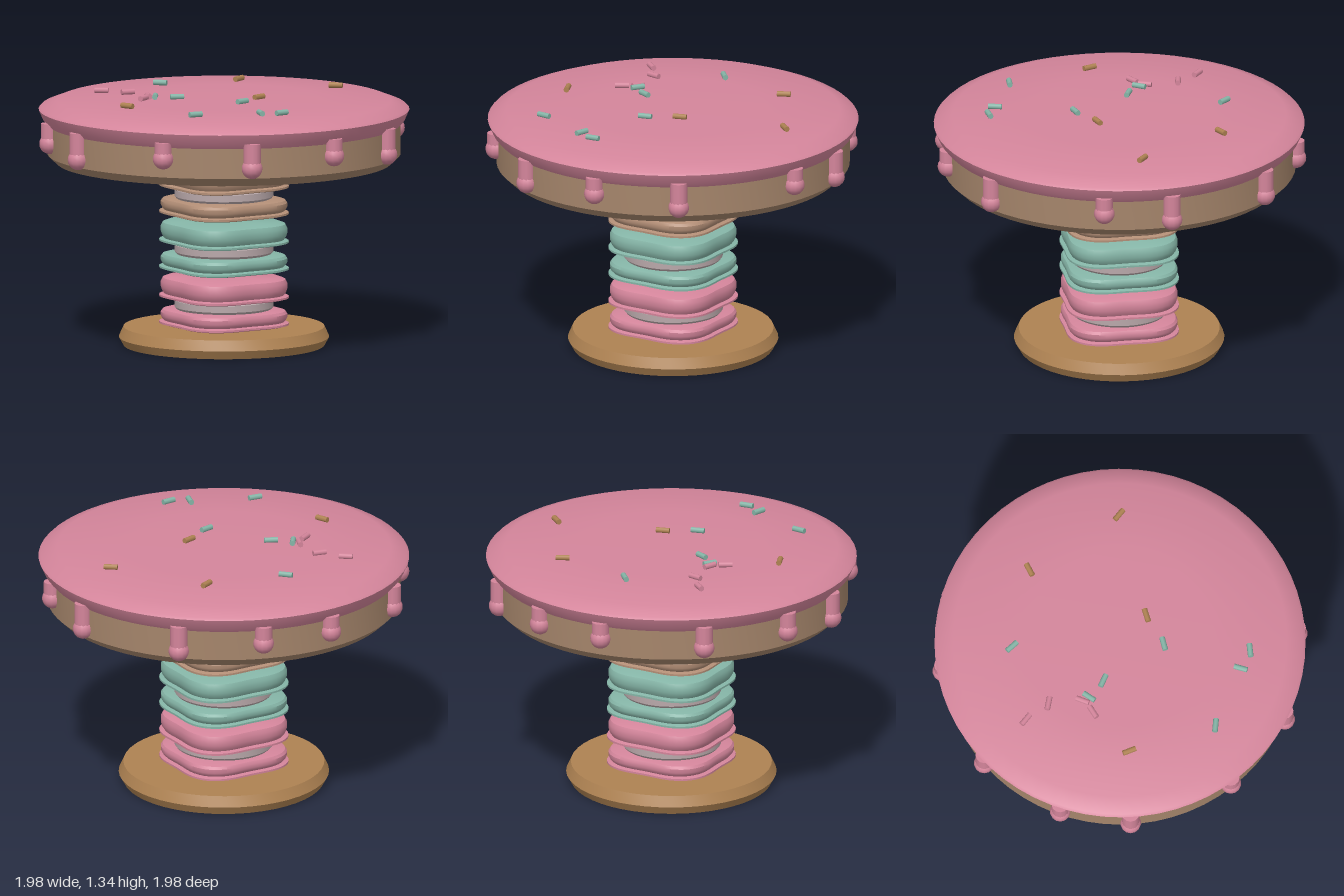
import * as THREE from 'three';
import { toCreasedNormals } from 'three/addons/utils/BufferGeometryUtils.js';

const mat = (name, color) => {
  const m = new THREE.MeshStandardMaterial({ color });
  m.name = name;
  return m;
};

// Lathe from [radius, y] points listed bottom to top
const lathe = (pts, sides, crease = 0.5) =>
  toCreasedNormals(new THREE.LatheGeometry(pts.map(p => new THREE.Vector2(...p)), sides), crease);

// Four-lobed biscuit shell with a thin foot ring at its lower edge
function shellGeometry(height) {
  const foot = 0.022, body = height - foot;
  const pts = [
    [0, 0], [0.97, 0], [1.035, 0.006], [1.035, 0.016], [0.96, foot],
    [0.99, foot + body * 0.15], [1.01, foot + body * 0.35], [1.01, foot + body * 0.65],
    [0.98, foot + body * 0.85], [0.88, foot + body * 0.97], [0, height],
  ].map(p => new THREE.Vector2(...p));
  const geo = new THREE.LatheGeometry(pts, 64);
  const pos = geo.attributes.position;
  for (let i = 0; i < pos.count; i++) {
    const x = pos.getX(i), z = pos.getZ(i);
    const r = 0.31 - 0.025 * Math.cos(4 * Math.atan2(z, x));
    pos.setX(i, x * r);
    pos.setZ(i, z * r);
  }
  return toCreasedNormals(geo, 0.6);
}

export function createModel() {
  const model = new THREE.Group();
  const pink = mat('pink icing', 0xd4859b);
  const teal = mat('mint', 0x85b5a7);
  const tan = mat('tan biscuit', 0xb48f77);
  const cake = mat('brown cake', 0xa5856b);
  const cream = mat('cream filling', 0xb9a8aa);
  const gold = mat('golden biscuit', 0xae8252);

  const add = (parent, name, geo, material) => {
    const mesh = new THREE.Mesh(geo, material);
    mesh.name = name;
    parent.add(mesh);
    return mesh;
  };

  // Round foot plate
  add(model, 'base', lathe([[0, 0], [0.53, 0], [0.555, 0.045], [0.53, 0.1], [0, 0.1]], 48, 0.35), gold);

  // Pedestal of three filled biscuits
  const upperShell = shellGeometry(0.12), lowerShell = shellGeometry(0.09);
  const filling = lathe([[0, 0], [0.25, 0], [0.262, 0.015], [0.262, 0.05], [0.25, 0.065], [0, 0.065]], 48);
  [pink, teal, tan].forEach((m, i) => {
    const biscuit = new THREE.Group();
    biscuit.name = 'pedestalBiscuit' + (i + 1);
    biscuit.position.y = 0.107 + i * 0.295;
    add(biscuit, 'lowerShell', lowerShell, m);
    add(biscuit, 'filling', filling, cream).position.y = 0.085;
    add(biscuit, 'upperShell', upperShell, m).position.y = 0.143;
    model.add(biscuit);
  });

  // Table top: cake with an icing layer
  add(model, 'cakeTop', lathe([[0, 0.975], [0.885, 0.975], [0.932, 1.02], [0.932, 1.2], [0, 1.2]], 64, 0.6), cake);
  add(model, 'icing', lathe([
    [0.92, 1.166], [0.955, 1.205], [0.978, 1.258], [0.966, 1.27], [0.88, 1.303], [0.5, 1.313], [0, 1.318],
  ], 64, 0.5), pink);

  // Icing drips: [angle in degrees from +x towards +z, lowest height]
  const drips = [
    [-7, 1.01], [15, 1.06], [56, 1.015], [84, 1.06], [113, 1.02], [142, 1.065],
    [177, 1.01], [200, 1.045], [230, 1.03], [264, 1.06], [288, 1.055], [315.5, 1.01],
  ];
  for (const [deg, low] of drips) {
    const a = THREE.MathUtils.degToRad(deg);
    const drip = new THREE.Group();
    drip.name = 'icingDrip';
    drip.position.set(0.94 * Math.cos(a), 0, 0.94 * Math.sin(a));
    const ballY = low + 0.055, length = 1.208 - ballY;
    add(drip, 'dripStem', new THREE.CylinderGeometry(0.046, 0.046, length, 12), pink).position.y = ballY + length / 2;
    add(drip, 'dripBall', new THREE.SphereGeometry(0.055, 14, 10), pink).position.y = ballY;
    model.add(drip);
  }

  // Sprinkles: [x, z, direction x, direction z, material]
  const rod = new THREE.CylinderGeometry(0.015, 0.015, 0.072, 8).rotateZ(Math.PI / 2);
  const sprinkles = [
    [-0.04, -0.57, 1, 1.1, teal], [-0.45, -0.5, 1, 0.8, pink], [-0.36, -0.38, 1, 0.2, pink],
    [0.39, -0.475, 1, -0.5, gold], [-0.41, -0.145, 1, -0.6, pink], [-0.345, -0.2, -0.4, 1, pink],
    [-0.325, -0.165, -0.7, 1, teal], [-0.235, -0.09, 1, 0.45, teal], [-0.63, 0.045, 0.4, 1, gold],
    [0.695, 0, 1, 0.8, gold], [0.13, 0.14, 1, -0.3, gold], [-0.03, 0.23, 1, -0.25, teal],
    [-0.49, 0.5, 1, 0.1, teal], [-0.17, 0.635, -0.3, 1, teal], [-0.07, 0.685, 1, -0.1, teal],
  ];
  for (const [x, z, dx, dz, m] of sprinkles) {
    const s = add(model, 'sprinkle', rod, m);
    s.position.set(x, 1.328, z);
    s.rotation.y = -Math.atan2(dz, dx);
  }
  return model;
}
